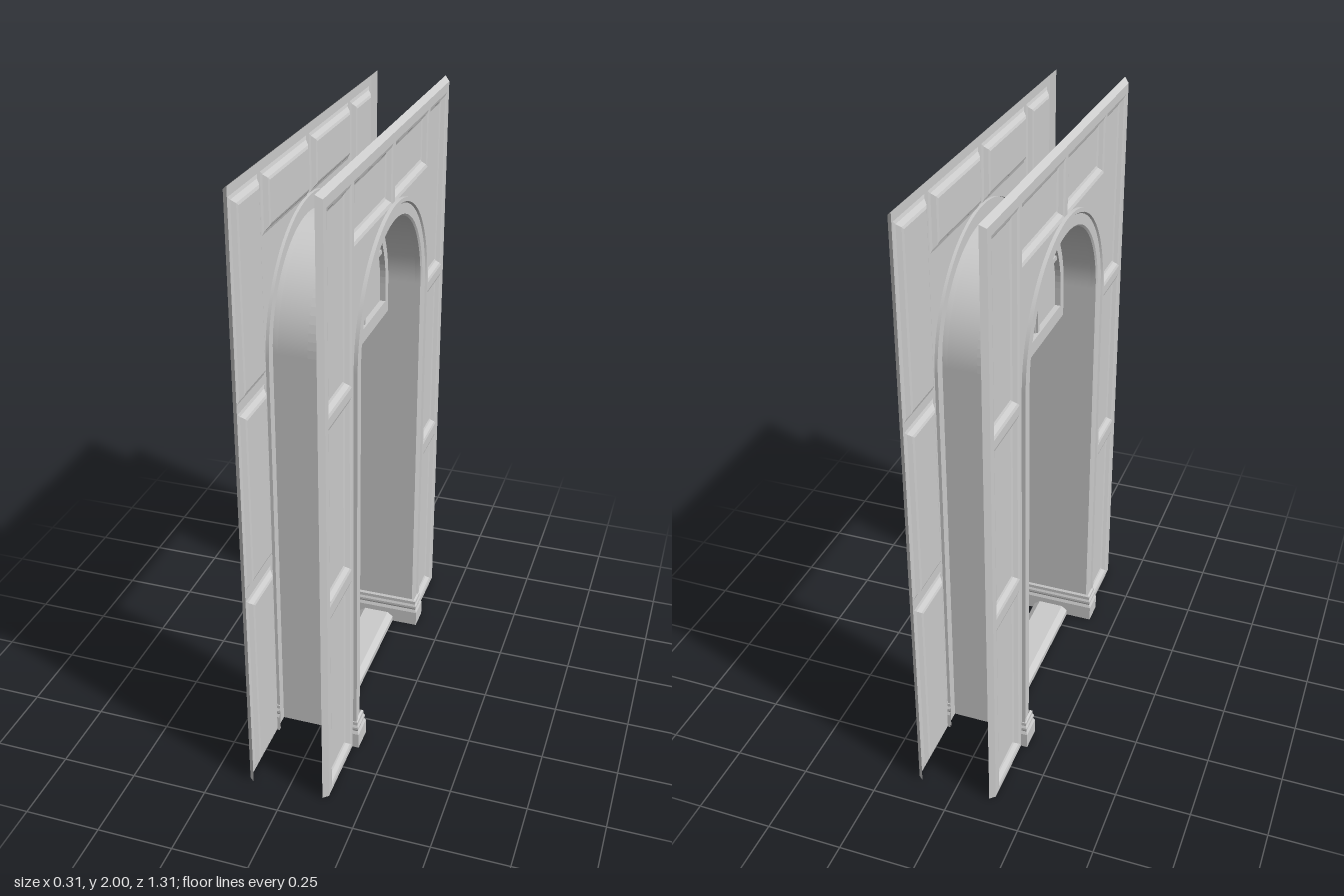
import * as THREE from 'three';
import { mergeGeometries } from 'three/addons/utils/BufferGeometryUtils.js';

const material = new THREE.MeshStandardMaterial({ color: 0xcccccc, side: THREE.DoubleSide });
const SPRING = 1.385; // height of the arch centre
const OPENING = 0.33; // half width of the doorway
const FACE = 0.135, BACK = 0.118; // depth of wall face and of sunk fields

function add(parent, name, geometry) {
  const mesh = new THREE.Mesh(geometry, material);
  mesh.name = name;
  parent.add(mesh);
  return mesh;
}

// Strips between successive rows of [x, y, z] points, creased at every row
function ribbon(rows, flat = false) {
  const strips = [];
  for (let i = 0; i + 1 < rows.length; i++) {
    const n = rows[i].length, index = [];
    for (let j = 0; j + 1 < n; j++) index.push(j, j + 1, n + j, j + 1, n + j + 1, n + j);
    let g = new THREE.BufferGeometry();
    g.setAttribute('position', new THREE.Float32BufferAttribute([...rows[i], ...rows[i + 1]].flat(), 3));
    g.setIndex(index);
    if (flat) g = g.toNonIndexed();
    g.computeVertexNormals();
    strips.push(g);
  }
  return mergeGeometries(strips);
}

// Round-headed outline, from the right foot over the top to the left foot
function archPoints(r, bottom = 0, segments = 40) {
  const pts = [[r, bottom]];
  for (let i = 0; i <= segments; i++) {
    const a = Math.PI * i / segments;
    pts.push([r * Math.cos(a), SPRING + r * Math.sin(a)]);
  }
  pts.push([-r, bottom]);
  return pts;
}
const archSweep = profile => ribbon(profile.map(([r, z]) => archPoints(r).map(([x, y]) => [x, y, z])));
const toVectors = pts => pts.map(([x, y]) => new THREE.Vector2(x, y));

const rect = (x0, y0, x1, y1, d = 0) =>
  [[x0 + d, y0 + d], [x1 - d, y0 + d], [x1 - d, y1 - d], [x0 + d, y1 - d]];

// Sunk panels: three on each side, two above the arch
const panels = [];
for (const [y0, y1] of [[0.015, 0.68], [0.72, 1.32], [1.35, 1.955]])
  panels.push([0.405, y0, 0.612, y1], [-0.612, y0, -0.405, y1]);
panels.push([0.012, 1.77, 0.385, 1.955], [-0.385, 1.77, -0.012, 1.955]);

function buildWall() {
  const wall = new THREE.Group();

  // Stiles and rails as one pierced face
  const outline = [[0.64, 0], [0.64, 1.985], [-0.64, 1.985], [-0.64, 0]];
  const doorway = archPoints(OPENING).reverse();
  const face = new THREE.Shape(toVectors([...outline, ...doorway]));
  for (const p of panels) face.holes.push(new THREE.Path(toVectors(rect(...p))));
  add(wall, 'wallFace', new THREE.ShapeGeometry(face).translate(0, 0, FACE));

  // Chamfer along the sides and top
  const rim = [[0.655, 0], [0.655, 2], [-0.655, 2], [-0.655, 0]];
  add(wall, 'wallChamfer', ribbon([
    rim.map(p => [...p, BACK]),
    outline.map(p => [...p, FACE]),
  ], true));

  // Sloped mouldings and sunk fields
  for (const p of panels) {
    const profile = [[0, FACE], [0.01, FACE - 0.003], [0.022, BACK + 0.003], [0.03, BACK]];
    add(wall, 'panelMoulding', ribbon(profile.map(([d, z]) => {
      const c = rect(...p, d);
      return [...c, c[0]].map(q => [...q, z]);
    }), true));
    const field = new THREE.Shape(toVectors(rect(...p, 0.03)));
    add(wall, 'panelField', new THREE.ShapeGeometry(field).translate(0, 0, BACK));
  }

  // Moulded trim round the doorway
  add(wall, 'archTrim', archSweep([
    [0.388, 0.125], [0.388, 0.147], [0.375, 0.147], [0.37, 0.141],
    [0.336, 0.141], [OPENING, 0.136], [OPENING, BACK],
  ]));
  return wall;
}

// Stepped base wrapping a jamb on three sides
function buildJambBase() {
  const profile = [[0, 0], [0.055, 0], [0.066, 0.005], [0.072, 0.003], [0.08, 0.003],
    [0.088, 0.007], [0.1, 0.007], [0.106, 0.013]];
  return ribbon(profile.map(([y, d]) => {
    const outer = 0.397 - d, inner = 0.317 + d, z = 0.157 - d;
    return [[outer, y, -0.125], [outer, y, -z], [inner, y, -z],
      [inner, y, z], [outer, y, z], [outer, y, 0.125]];
  }), true);
}

function buildFanlight() {
  const fanlight = new THREE.Group();
  const bottom = 1.275, sill = 1.322, inner = 0.298;
  const extrude = (shape, depth) => new THREE.ExtrudeGeometry(shape, { depth, bevelEnabled: false })
    .translate(0, 0, -depth / 2);

  const frame = new THREE.Shape(toVectors(archPoints(0.332, bottom)));
  frame.holes.push(new THREE.Path(toVectors(archPoints(inner, sill))));
  add(fanlight, 'fanlightFrame', extrude(frame, 0.05));
  add(fanlight, 'fanlightPane', extrude(new THREE.Shape(toVectors(archPoints(inner, sill))), 0.012));

  // Glazing bars, each a wide flat and a narrower raised ridge
  for (const [thick, depth] of [[0.026, 0.026], [0.016, 0.038]]) {
    for (const x of [-0.095, 0.095]) {
      const h = SPRING + Math.sqrt(inner ** 2 - x ** 2) - sill;
      add(fanlight, 'uprightBar', new THREE.BoxGeometry(thick, h, depth)).position.set(x, sill + h / 2, 0);
    }
    add(fanlight, 'crossBar', new THREE.BoxGeometry(0.55, thick, depth)).position.set(0, 1.507, 0);
  }
  return fanlight;
}

export function createModel() {
  const model = new THREE.Group();
  model.name = 'archedDoorway';
  const body = new THREE.Group();
  body.name = 'doorwayBody';
  body.rotation.y = Math.PI / 2; // doorway opens along x
  model.add(body);

  // Two matching walls, back to back, with a base on each jamb
  for (const turn of [0, Math.PI]) {
    const wall = buildWall();
    wall.name = turn ? 'rightWall' : 'leftWall';
    wall.rotation.y = turn;
    body.add(wall);
    add(body, 'jambBase', buildJambBase()).rotation.y = turn;
  }

  // Vaulted lining between the walls
  add(body, 'doorwayLining', archSweep([[OPENING, BACK], [OPENING, -BACK]]));

  const fanlight = buildFanlight();
  fanlight.name = 'fanlight';
  body.add(fanlight);

  // Threshold, a shallow channel open underneath
  const section = [[0, 0.065], [0.02, 0.065], [0.035, 0.045], [0.035, -0.045], [0.02, -0.065], [0, -0.065]];
  add(body, 'threshold', ribbon(section.map(([y, z]) => [[-0.325, y, z], [0.325, y, z]]), true));

  return model;
}
